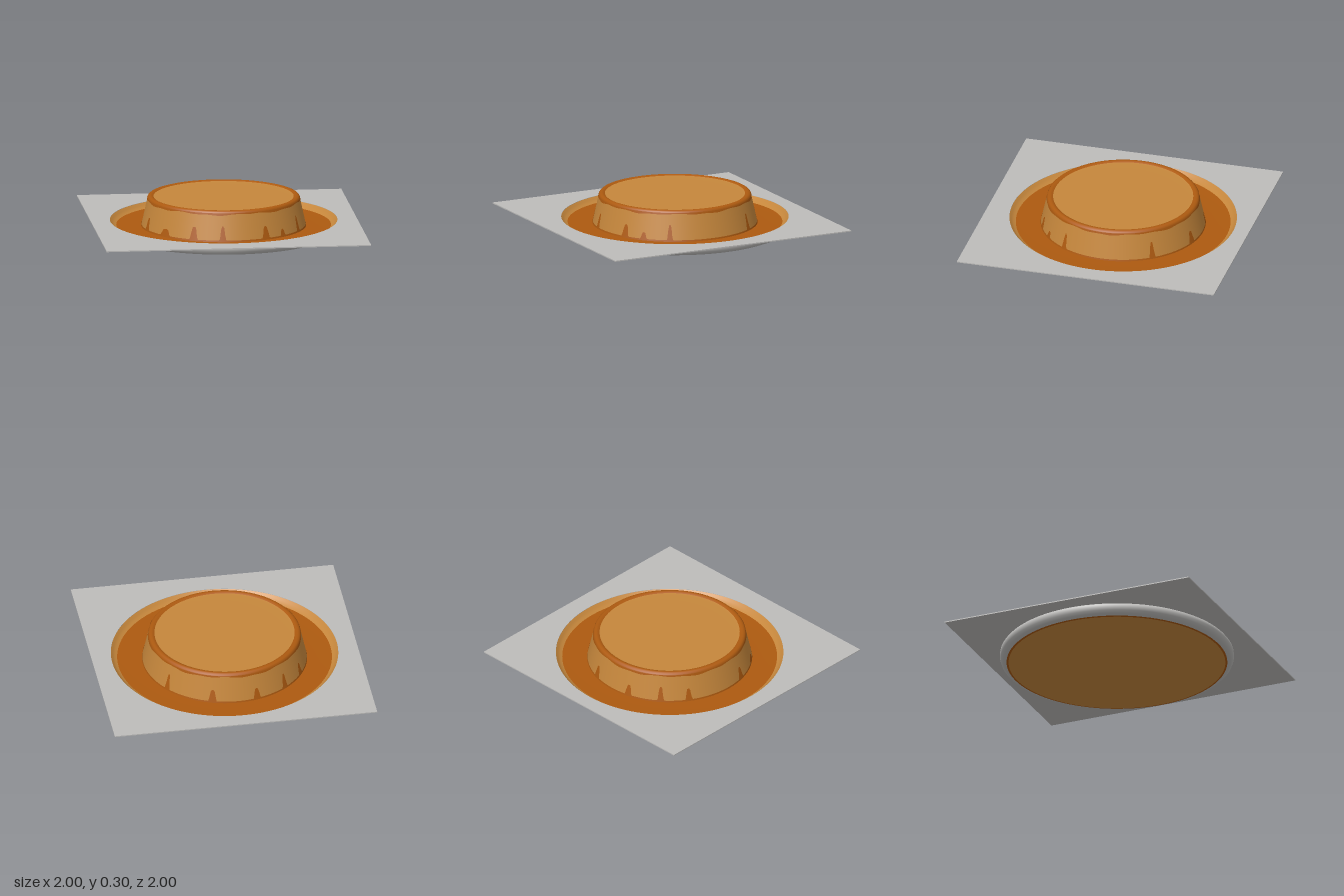
import * as THREE from 'three';

const mat = (name, color, double) => {
  const m = new THREE.MeshStandardMaterial({ color });
  m.name = name;
  if (double) m.side = THREE.DoubleSide;
  return m;
};

const CZ = -0.025; // the dish sits slightly back on the sheet
const FLOOR = 0.07;
const sideRadius = (y) => 0.61 - 0.22 * (y - 0.11);

export function createModel() {
  const custard = mat('custard tan', 0xc6873c);
  const caramel = mat('caramel brown', 0xad5a10, true);
  const grey = mat('plate grey', 0xbdbcba);

  const model = new THREE.Group();
  model.name = 'caramelPudding';
  const dish = new THREE.Group();
  dish.name = 'dish';
  dish.position.z = CZ;
  model.add(dish);

  const add = (parent, name, geometry, material) => {
    const mesh = new THREE.Mesh(geometry, material);
    mesh.name = name;
    parent.add(mesh);
    return mesh;
  };
  const lathe = (name, points, material) =>
    add(dish, name, new THREE.LatheGeometry(points.map(([r, y]) => new THREE.Vector2(r, y)), 96), material);

  // Square sheet with a round opening
  const square = new THREE.Shape([[-1, -1], [1, -1], [1, 1], [-1, 1]].map(([x, y]) => new THREE.Vector2(x, y)));
  const opening = new THREE.Path();
  opening.absarc(0, -CZ, 0.855, 0, Math.PI * 2, true);
  square.holes.push(opening);
  const sheet = new THREE.ExtrudeGeometry(square, { depth: 0.008, bevelEnabled: false, curveSegments: 96 });
  sheet.rotateX(-Math.PI / 2);
  sheet.translate(0, 0.104, 0);
  add(model, 'squareSheet', sheet, grey);

  // Shallow dish: rounded outside, tan inner wall and underside
  lathe('dishOuterWall', [[0.83, 0.02], [0.855, 0.03], [0.873, 0.048], [0.88, 0.07], [0.878, 0.09], [0.866, 0.105]], grey);
  lathe('dishInnerWall', [[0.855, 0.11], [0.84, 0.095], [0.825, 0.08], [0.8, FLOOR]], custard);
  lathe('dishUnderside', [[0, 0], [0.4, 0.003], [0.7, 0.01], [0.815, 0.017]], custard);
  lathe('undersideRim', [[0.815, 0.017], [0.832, 0.021]], caramel);

  // Caramel pool around the pudding
  lathe('caramelPool', [[0.808, FLOOR + 0.003], [0.7, FLOOR], [0.6, FLOOR]], caramel);

  // Pudding body, rounded caramel rim and sunken top
  lathe('puddingSide', [[sideRadius(FLOOR), FLOOR], [sideRadius(0.18), 0.18], [sideRadius(0.28), 0.28]], custard);
  lathe('caramelRim', [[0.574, 0.278], [0.571, 0.288], [0.563, 0.296], [0.55, 0.3], [0.538, 0.298], [0.525, 0.291]], caramel);
  lathe('puddingTop', [[0.527, 0.292], [0.51, 0.29], [0.3, 0.291], [0, 0.291]], custard);

  // Thin caramel bands on the side with edges that vary by angle
  const sideBand = (name, low, high) => {
    const geometry = new THREE.PlaneGeometry(1, 1, 480, 4);
    const p = geometry.attributes.position;
    for (let i = 0; i < p.count; i++) {
      const angle = (p.getX(i) + 0.5) * 360;
      const y = THREE.MathUtils.lerp(low(angle), high(angle), p.getY(i) + 0.5);
      const a = THREE.MathUtils.degToRad(angle);
      const r = sideRadius(y) + 0.002;
      p.setXYZ(i, Math.sin(a) * r, y, Math.cos(a) * r);
      geometry.attributes.normal.setXYZ(i, Math.sin(a) * 0.977, 0.215, Math.cos(a) * 0.977);
    }
    return add(dish, name, geometry, caramel);
  };

  // [angle, height, half width in degrees]
  const drips = [
    [25, 0.1, 2.4], [40, 0.06, 2], [59, 0.125, 1.6], [126, 0.13, 1.6], [162, 0.1, 2.4],
    [194, 0.09, 2.2], [218, 0.12, 1.8], [238, 0.1, 2], [285, 0.1, 2.2], [308, 0.06, 4],
    [332, 0.105, 2.4], [353, 0.115, 1.8],
  ];
  const dripTop = (angle) => drips.reduce(
    (y, [a, h, w]) => Math.max(y, FLOOR + h * Math.exp(-(((angle - a) / w) ** 4))), FLOOR + 0.012);
  sideBand('caramelDrips', () => FLOOR, dripTop);

  const rimEdge = (angle) => {
    const a = THREE.MathUtils.degToRad(angle);
    return 0.27 + 0.004 * Math.sin(7 * a) + 0.003 * Math.sin(17 * a + 1);
  };
  sideBand('caramelRimEdge', rimEdge, () => 0.282);

  return model;
}
